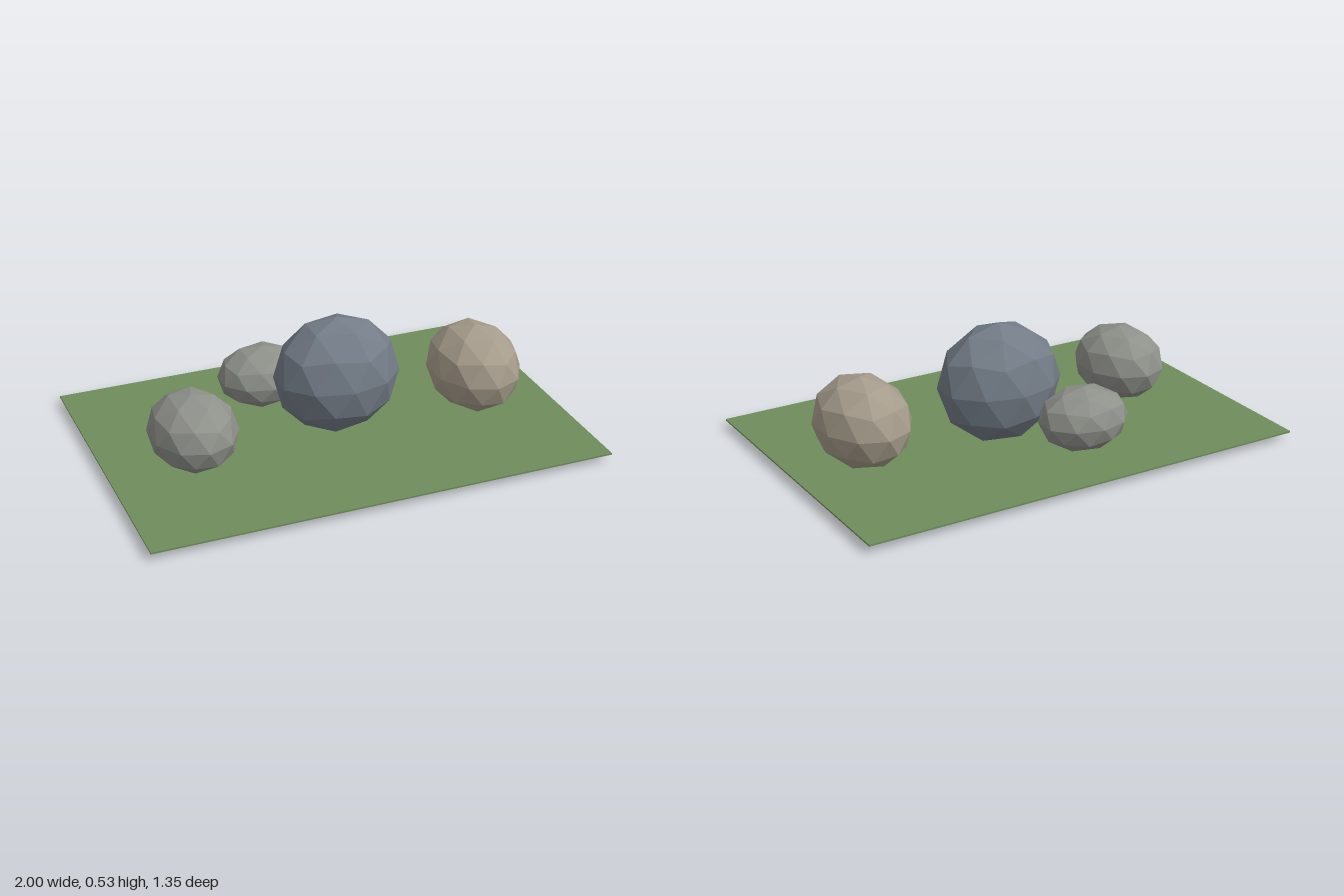
import * as THREE from 'three';

// Faceted 80-sided boulder with a five-fold pole on +y
function boulderGeometry(rx, ry, rz) {
  const geometry = new THREE.IcosahedronGeometry(1, 1);
  geometry.rotateX(-Math.atan((1 + Math.sqrt(5)) / 2));
  geometry.rotateY(Math.PI / 2);
  geometry.scale(rx, ry, rz);
  geometry.computeVertexNormals();
  return geometry;
}

export function createModel() {
  const model = new THREE.Group();
  model.name = 'rockGarden';

  // Thin grass slab
  const ground = new THREE.Mesh(
    new THREE.BoxGeometry(2, 0.007, 1.354),
    new THREE.MeshStandardMaterial({ color: 0x6f8c5b })
  );
  ground.name = 'ground';
  ground.position.y = 0.035;
  model.add(ground);

  // Boulders sunk slightly through the slab: name, colour, centre, radii
  const boulders = [
    ['largeBoulder', 0x737c87, [0.05, 0.263, -0.028], [0.277, 0.263, 0.21]],
    ['tanBoulder', 0xa59b8b, [0.672, 0.205, 0.022], [0.199, 0.193, 0.249]],
    ['rightBoulder', 0x8e908a, [-0.628, 0.181, 0.073], [0.187, 0.165, 0.224]],
    ['backBoulder', 0x8e908a, [-0.178, 0.157, -0.326], [0.2, 0.137, 0.162]],
  ];
  for (const [name, color, centre, radii] of boulders) {
    const boulder = new THREE.Mesh(
      boulderGeometry(...radii),
      new THREE.MeshStandardMaterial({ color, flatShading: true })
    );
    boulder.name = name;
    boulder.position.set(...centre);
    model.add(boulder);
  }
  return model;
}
